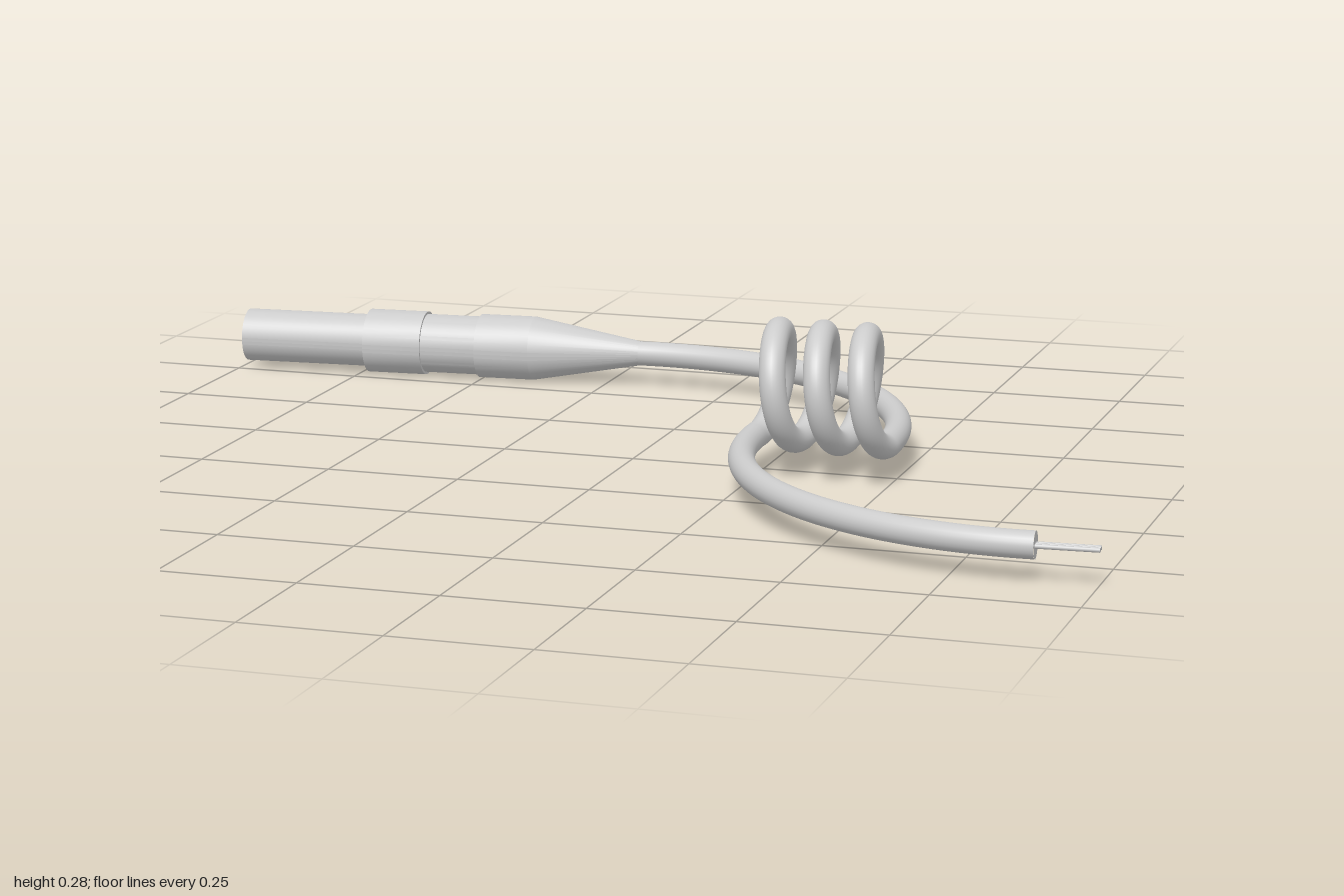
import * as THREE from 'three';
import { toCreasedNormals } from 'three/addons/utils/BufferGeometryUtils.js';

const Y = 0.063;          // height of the cable's centre line
const ZC = 0.007;         // z of the coil axis and the bend centres
const CABLE_R = 0.024;
const BEND_R = 0.615;
const COIL_R = 0.098;
const COIL_START = 0.483; // x where the cable enters the coil
const COIL_END = 0.237;   // x where it leaves
const TURNS = 3;
const PLUG_TILT = THREE.MathUtils.degToRad(4.8);
const END_TILT = THREE.MathUtils.degToRad(4);

const vec = (x, y, z) => new THREE.Vector3(x, y, z);

export function createModel() {
  const model = new THREE.Group();
  model.name = 'coiledTestLead';
  const material = new THREE.MeshStandardMaterial({ color: 0xcccccc });

  const add = (name, geometry, parent = model) => {
    const mesh = new THREE.Mesh(geometry, material);
    mesh.name = name;
    parent.add(mesh);
    return mesh;
  };

  // Centre line: bend from the plug, coil, bend to the bare end
  const firstBend = (a) => vec(COIL_START - BEND_R + BEND_R * Math.sin(a), Y, ZC - BEND_R * Math.cos(a));
  const coil = (t) => {
    const a = t * TURNS * Math.PI * 2;
    return vec(
      THREE.MathUtils.lerp(COIL_START, COIL_END, t),
      Y + COIL_R * (1 - Math.cos(a)),
      ZC + COIL_R * Math.sin(a)
    );
  };
  const lastBend = (a) => vec(COIL_END + BEND_R - BEND_R * Math.cos(a), Y, ZC + BEND_R * Math.sin(a));
  const lastAngle = Math.PI / 2 + END_TILT;

  const points = [];
  for (let i = 0; i < 40; i++) points.push(firstBend(THREE.MathUtils.lerp(-PLUG_TILT, Math.PI / 2, i / 40)));
  for (let i = 0; i < 96; i++) points.push(coil(i / 96));
  for (let i = 0; i <= 40; i++) points.push(lastBend(lastAngle * i / 40));
  const path = new THREE.CatmullRomCurve3(points);
  add('cable', new THREE.TubeGeometry(path, 500, CABLE_R, 24));

  // Plug: strain relief, two collars with a groove between, and a plain sleeve
  const profile = [
    [0, 0], [0.024, 0], [0.063, 0.215], [0.063, 0.325], [0.058, 0.325], [0.058, 0.437],
    [0.063, 0.437], [0.063, 0.555], [0.052, 0.555], [0.052, 0.81], [0, 0.81],
  ].map(([r, s]) => new THREE.Vector2(r, s));
  const plug = add('plug', toCreasedNormals(new THREE.LatheGeometry(profile, 48), 0.15));
  plug.position.copy(firstBend(-PLUG_TILT));
  plug.quaternion.setFromUnitVectors(vec(0, 1, 0), vec(-Math.cos(PLUG_TILT), 0, Math.sin(PLUG_TILT)));

  // Bare end: local +x runs along the wire
  const bareEnd = new THREE.Group();
  bareEnd.name = 'bareEnd';
  bareEnd.position.copy(lastBend(lastAngle));
  bareEnd.rotation.y = END_TILT;
  model.add(bareEnd);

  const cap = add('cableEndCap', new THREE.CircleGeometry(CABLE_R, 24), bareEnd);
  cap.rotation.y = Math.PI / 2;

  // Row of thin strands
  for (let i = -1; i <= 1; i++) {
    const strand = add('wireStrand', new THREE.CylinderGeometry(0.004, 0.004, 0.117, 10), bareEnd);
    strand.rotation.z = -Math.PI / 2;
    strand.position.set(0.0485, 0, i * 0.0085);
  }

  return model;
}
